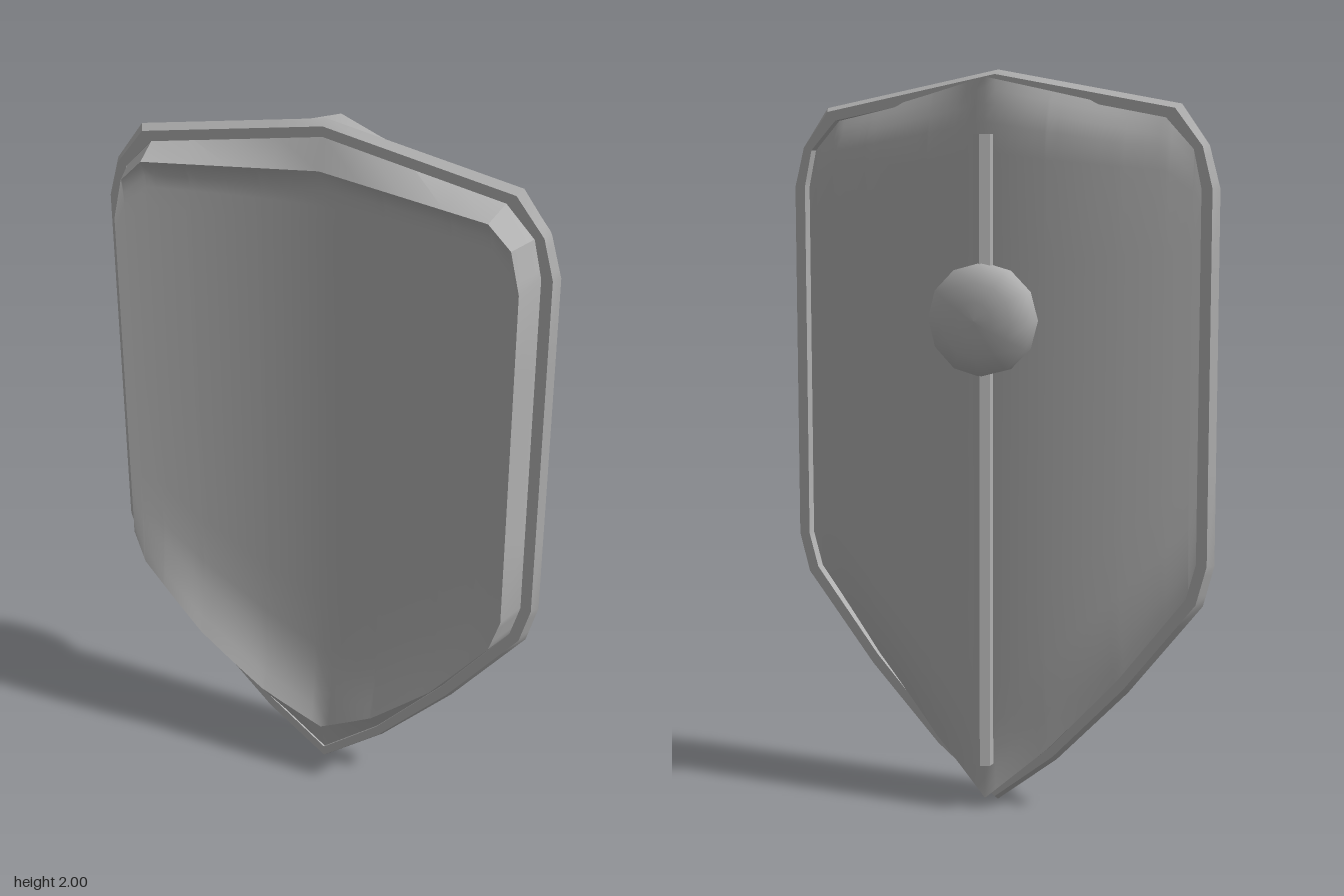
import * as THREE from 'three';
import { toCreasedNormals } from 'three/addons/utils/BufferGeometryUtils.js';

// Right half outlines, top centre to bottom centre; the first four points form the top edge
const OUTER = [[0, 2], [0.51, 1.905], [0.585, 1.8], [0.615, 1.69], [0.615, 0.71], [0.585, 0.6], [0.38, 0.345], [0.175, 0.135], [0, 0]];
const INNER = [[0, 1.96], [0.475, 1.87], [0.55, 1.79], [0.572, 1.69], [0.572, 0.715], [0.545, 0.62], [0.36, 0.385], [0.165, 0.175], [0, 0.045]];
const FACE = [[0, 1.88], [0.46, 1.85], [0.52, 1.79], [0.545, 1.68], [0.545, 0.715], [0.515, 0.62], [0.35, 0.415], [0.17, 0.25], [0, 0.14]];
const BACK = INNER.map(([x, y], i) => [x, i === 0 ? 1.978 : i === 8 ? 0.03 : y]);
const CHAMFER = OUTER.map(([x, y], i) => [x + (INNER[i][0] - x) * 0.32, y + (INNER[i][1] - y) * 0.32]);

// Depth of each curved face across the width, and along its rising border
const part = (x, width) => Math.min(Math.abs(x) / width, 1);
const cusp = (t) => 1 - (1 - t) ** 2;
const front = {
  arc: (x) => 0.05 + 0.085 * part(x, 0.545) ** 2,
  edge: (x, y) => 0.075 + 0.06 * (y > 1.2 ? part(x, 0.46) : cusp(part(x, 0.545))),
  topReach: 0.06, bottomReach: 0.25,
};
const back = {
  arc: (x) => -0.065 + 0.095 * part(x, 0.572) ** 2,
  edge: (x) => -0.065 + 0.095 * cusp(part(x, 0.572)),
  topReach: 0.14, bottomReach: 0.25,
};

// Full closed ring from a half outline, each edge cut into equal steps
function ring(half, zAt, steps = 4) {
  const full = [...half, ...half.slice(1, -1).reverse().map(([x, y]) => [-x, y])];
  const out = [];
  full.forEach(([x, y], i) => {
    const [nx, ny] = full[(i + 1) % full.length];
    for (let s = 0; s < steps; s++) {
      const t = s / steps, px = x + (nx - x) * t, py = y + (ny - y) * t;
      out.push([px, py, typeof zAt === 'function' ? zAt(px, py) : zAt]);
    }
  });
  return out;
}

function indexed(pos, idx) {
  const g = new THREE.BufferGeometry();
  g.setAttribute('position', new THREE.Float32BufferAttribute(pos, 3));
  g.setIndex(idx);
  g.computeVertexNormals();
  return g;
}

// Skin between successive rings, front to back
function loft(rings) {
  const n = rings[0].length, idx = [];
  for (let k = 0; k < rings.length - 1; k++) {
    for (let i = 0; i < n; i++) {
      const a = k * n + i, b = k * n + (i + 1) % n;
      idx.push(a, b, a + n, b, b + n, a + n);
    }
  }
  return toCreasedNormals(indexed(rings.flat(2), idx), 0.5);
}

function heightAt(points, x) {
  for (let i = 0; i < points.length - 1; i++) {
    const [x0, y0] = points[i], [x1, y1] = points[i + 1];
    if (x <= x1 + 1e-9) return y0 + (y1 - y0) * (x - x0) / (x1 - x0);
  }
  return points[points.length - 1][1];
}

// Curved panel filling an outline, built from vertical columns
const ROWS = [0, 0.03, 0.06, 0.1, 0.15, 0.25, 0.5, 0.75, 0.9, 0.94, 0.965, 0.985, 1];
function panel(half, curve, facingBack) {
  const top = half.slice(0, 4), bottom = half.slice(4).reverse();
  const xs = new Set(half.map((p) => p[0]));
  for (let i = 0; i < 20; i++) xs.add(top[3][0] * i / 20);
  const right = [...xs].sort((a, b) => a - b);
  const cols = [...right.slice(1).reverse().map((x) => -x), ...right];
  const n = ROWS.length, pos = [], idx = [];
  cols.forEach((x, c) => {
    const lo = heightAt(bottom, Math.abs(x)), hi = heightAt(top, Math.abs(x));
    ROWS.forEach((t, r) => {
      const y = lo + (hi - lo) * t;
      const gap = Math.min((hi - y) / curve.topReach, (y - lo) / curve.bottomReach, 1);
      const z = curve.arc(x) + (curve.edge(x, y) - curve.arc(x)) * (1 - gap) ** 2;
      pos.push(x, y, z);
      if (c < cols.length - 1 && r < n - 1) {
        const a = c * n + r, b = a + n;
        if (facingBack) idx.push(a, a + 1, b, b, a + 1, b + 1);
        else idx.push(a, b, a + 1, b, b + 1, a + 1);
      }
    });
  });
  return indexed(pos, idx);
}

export function createModel() {
  const group = new THREE.Group();
  const grey = new THREE.MeshStandardMaterial({ color: 0xb0b0b0 });
  grey.name = 'grey';
  const add = (name, geometry) => {
    const mesh = new THREE.Mesh(geometry, grey);
    mesh.name = name;
    group.add(mesh);
    return mesh;
  };

  // Shield body: front panel, back panel and the walls joining them
  add('frontPanel', panel(FACE, front, false));
  add('backPanel', panel(BACK, back, true));
  add('bodyWall', loft([ring(FACE, front.edge), ring(INNER, 0.045), ring(BACK, back.edge)]));

  // Chamfered rim around the body
  add('rim', loft([
    ring(INNER, 0.05), ring(CHAMFER, 0.05), ring(OUTER, 0.027),
    ring(CHAMFER, 0.003), ring(INNER, 0.003), ring(INNER, 0.05),
  ]));

  // Long open-ended bar down the back
  const bar = add('backBar', toCreasedNormals(new THREE.CylinderGeometry(0.028, 0.028, 1.7, 6, 1, true), 0.5));
  bar.position.set(0, 0.98, -0.072);

  // Round boss over the bar
  const profile = [[0.15, -0.02], [0.15, 0.038], [0.1, 0.067], [0.05, 0.078], [0, 0.08]]
    .map(([r, h]) => new THREE.Vector2(r, h));
  const boss = add('boss', new THREE.LatheGeometry(profile, 12));
  boss.rotation.x = -Math.PI / 2;
  boss.position.set(0, 1.345, -0.06);

  return group;
}
